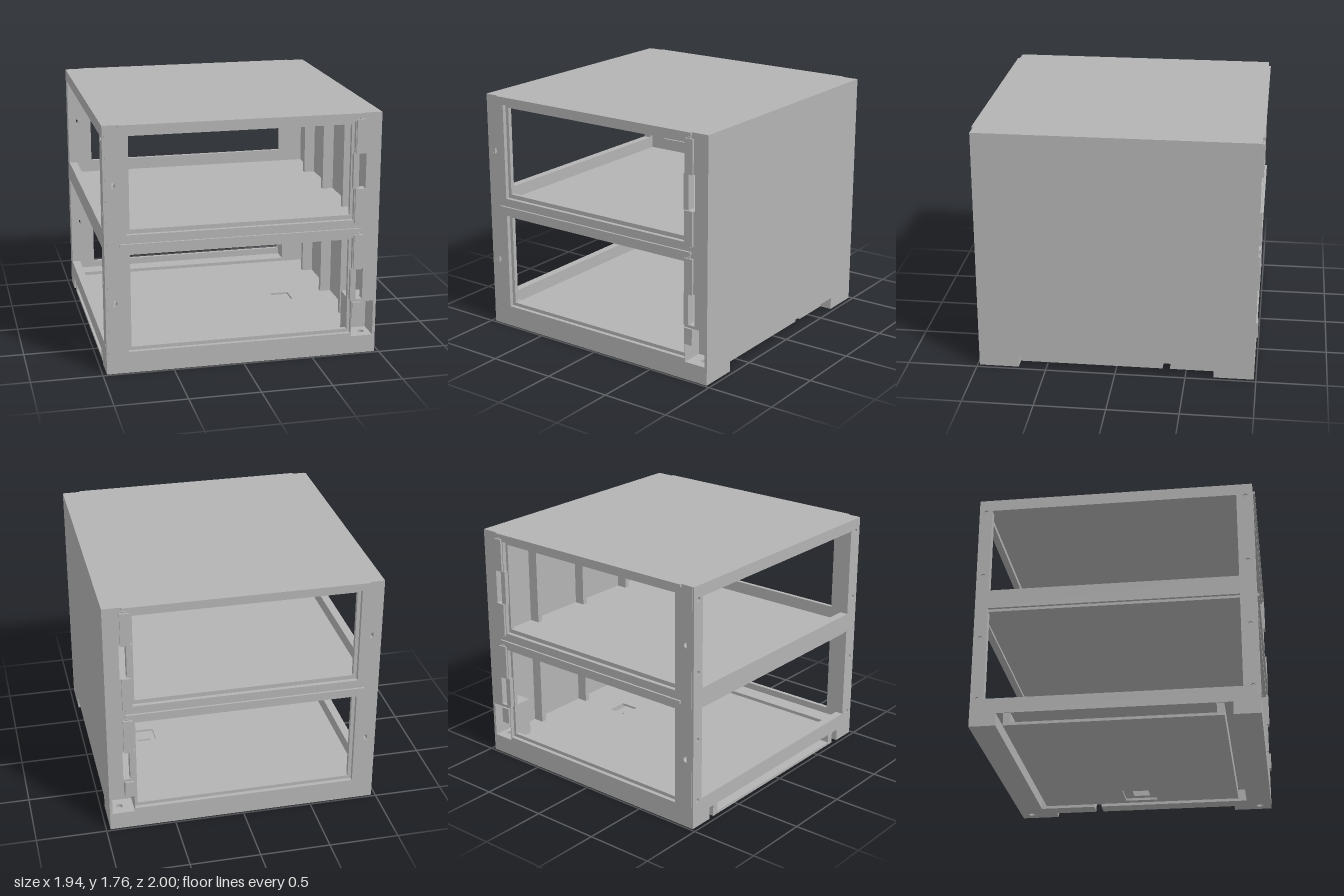
import * as THREE from 'three';

export function createModel() {
  const model = new THREE.Group();
  model.name = 'twoBayCabinet';
  const grey = new THREE.MeshStandardMaterial({ color: 0xb3b3b3 });
  grey.name = 'matteGrey';

  const add = (name, geometry) => {
    const mesh = new THREE.Mesh(geometry, grey);
    mesh.name = name;
    model.add(mesh);
    return mesh;
  };
  // Box given by its limits on each axis
  const box = (name, x0, x1, y0, y1, z0, z1) =>
    add(name, new THREE.BoxGeometry(x1 - x0, y1 - y0, z1 - z0)
      .translate((x0 + x1) / 2, (y0 + y1) / 2, (z0 + z1) / 2));
  // Same box at the front (s = 1) or the back (s = -1)
  const endBox = (s, name, x0, x1, y0, y1, z0, z1) =>
    s > 0 ? box(name, x0, x1, y0, y1, z0, z1) : box(name, x0, x1, y0, y1, -z1, -z0);

  const trace = (path, [u0, u1, v0, v1]) => {
    path.moveTo(u0, v0).lineTo(u1, v0).lineTo(u1, v1).lineTo(u0, v1).closePath();
    return path;
  };
  // Flat plate with rectangular holes and round holes [u, v, radius]
  const plate = (outer, rects, rounds, depth) => {
    const shape = trace(new THREE.Shape(), outer);
    rects.forEach(r => shape.holes.push(trace(new THREE.Path(), r)));
    rounds.forEach(([u, v, r]) =>
      shape.holes.push(new THREE.Path().absarc(u, v, r, 0, Math.PI * 2, true)));
    return new THREE.ExtrudeGeometry(shape, { depth, bevelEnabled: false, curveSegments: 10 });
  };
  // Horizontal plate: outlines are [x0, x1, -z1, -z0]
  const flat = (name, outer, rects, rounds, y0, y1) =>
    add(name, plate(outer, rects, rounds, y1 - y0).rotateX(-Math.PI / 2).translate(0, y0, 0));

  // Roof, shelf, floor and the closed side wall
  box('roof', -0.97, 0.97, 1.715, 1.765, -0.98, 0.98);
  box('shelf', -0.95, 0.955, 0.87, 0.94, -0.93, 0.93);
  flat('floor', [-0.965, 0.955, -0.93, 0.93], [[0.47, 0.61, -0.09, 0.06]], [], 0.09, 0.105);
  box('sideWall', 0.95, 0.97, 0.09, 1.765, -0.984, 0.984);
  for (const z of [-0.55, -0.05, 0.45])
    for (const [y0, y1] of [[0.1, 0.87], [0.94, 1.715]])
      box('wallRib', 0.87, 0.95, y0, y1, z - 0.02, z + 0.02);

  // Open side frame with two large openings and screw holes
  const screws = [];
  for (const z of [-0.935, 0.935])
    for (const y of [0.2, 0.66, 1.15, 1.67]) screws.push([z, y, 0.016]);
  add('openSideFrame', plate([-0.983, 0.983, 0.09, 1.764],
    [[-0.89, 0.87, 0.2, 0.89], [-0.89, 0.87, 1.03, 1.68]], screws, 0.06)
    .rotateY(-Math.PI / 2).translate(-0.91, 0, 0));

  const latches = [[-0.91, 1.35, 0.023], [-0.91, 0.515, 0.023]];
  const slots = [[0.815, 0.865, 1.225, 1.48], [0.815, 0.865, 0.41, 0.64]];
  const pocket = [0.79, 0.96, 0.13, 0.39];
  const windows = [[-0.79, 0.765, 1.03, 1.68], [-0.79, 0.765, 0.18, 0.85]];
  const rebates = [[-0.815, 0.785, 1.0, 1.705], [-0.815, 0.785, 0.155, 0.87]];

  for (const s of [1, -1]) {
    // Window wall: an inner layer and an outer layer with a wider rebate
    const wall = (name, holes, z0, z1) =>
      add(name, plate([-0.955, 0.97, 0, 1.765], [...holes, ...slots, pocket], latches, z1 - z0)
        .translate(0, 0, s > 0 ? z0 : -z1));
    wall('windowWallInner', windows, 0.925, 0.955);
    wall('windowWallOuter', rebates, 0.955, 0.985);

    // Drip ledges above each bay
    endBox(s, 'ledge', -0.865, 0.84, 0.92, 0.94, 0.97, 1);
    endBox(s, 'ledge', -0.865, 0.84, 1.745, 1.765, 0.97, 1);

    // Hinge knuckles, pins and the bars between them
    for (const [y0, y1] of [[1.48, 1.722], [0.98, 1.228], [0.638, 0.893], [0.27, 0.39]])
      endBox(s, 'hingeKnuckle', 0.79, 0.855, y0, y1, 0.935, 1);
    for (const y of [1.727, 0.974, 0.899])
      add('hingePin', new THREE.CylinderGeometry(0.017, 0.017, 0.014, 12)
        .translate(0.823, y, s * 0.975));
    endBox(s, 'hingeBar', 0.775, 0.815, 1.228, 1.48, 0.93, 0.986);
    endBox(s, 'hingeBar', 0.775, 0.815, 0.405, 0.638, 0.93, 0.986);

    // Housing behind the corner pocket
    endBox(s, 'pocketBack', 0.77, 0.955, 0.11, 0.41, 0.8, 0.82);
    endBox(s, 'pocketSide', 0.77, 0.79, 0.11, 0.41, 0.82, 0.94);
    endBox(s, 'pocketTop', 0.79, 0.955, 0.39, 0.41, 0.82, 0.94);

    // Bottom bar with a foot screw hole, and the corner foot on the closed side
    flat('bottomBar', [-0.97, 0.97, s > 0 ? -0.984 : 0.8, s > 0 ? -0.8 : 0.984],
      [], [[0.89, -s * 0.9, 0.025]], 0, 0.13);
    endBox(s, 'cornerFoot', 0.76, 0.97, 0, 0.09, 0.7, 0.81);
  }

  // Base rail set back under the closed side, split by a cable gap
  box('baseRail', 0.76, 0.88, 0, 0.09, -0.33, 0.7);
  box('baseRail', 0.76, 0.88, 0, 0.09, -0.7, -0.385);

  // Hollow base tray, open at the side, with an access hatch
  flat('trayPlate', [-0.965, 0.7, -0.74, 0.75], [[0.43, 0.65, -0.12, 0.12]], [], 0, 0.02);
  flat('hatchPlate', [0.43, 0.65, -0.12, 0.12], [[0.49, 0.6, -0.07, 0.05]], [], 0.018, 0.03);
  box('trayEnd', 0.68, 0.7, 0.02, 0.09, -0.75, 0.74);
  box('traySide', -0.965, 0.68, 0.02, 0.09, -0.75, -0.7);
  box('traySide', -0.965, 0.68, 0.02, 0.09, 0.69, 0.74);

  return model;
}
